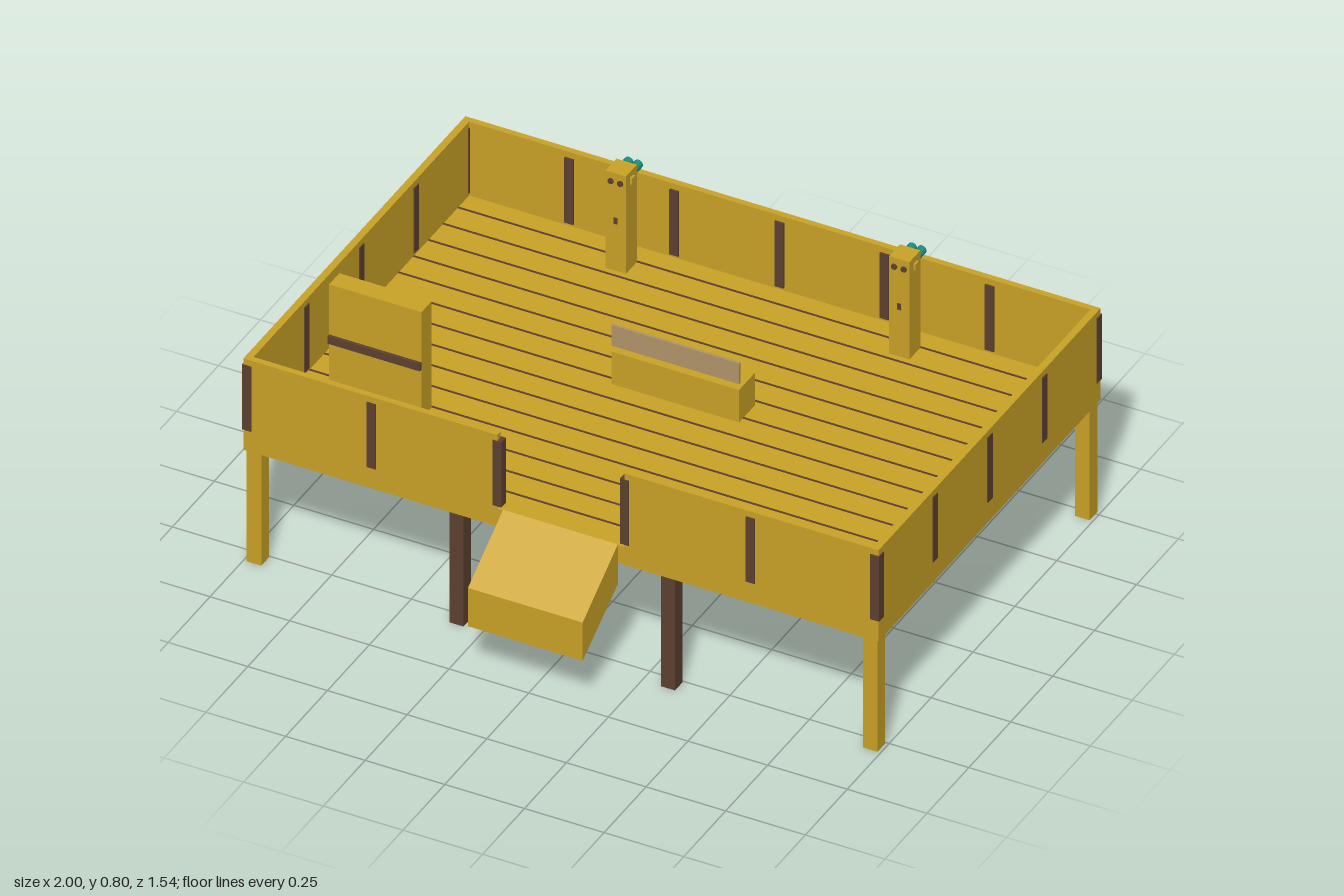
import * as THREE from 'three';

export function createModel() {
  const model = new THREE.Group();
  model.name = 'observationDeck';

  const mat = (name, color) => {
    const m = new THREE.MeshStandardMaterial({ color });
    m.name = name;
    return m;
  };
  const yellow = mat('yellowWood', 0xc9a227);
  const brown = mat('darkBrownWood', 0x5c4030);
  const tan = mat('tanPanel', 0xb09468);
  const teal = mat('tealMetal', 0x1f9080);

  const add = (name, geometry, material, parent = model) => {
    const mesh = new THREE.Mesh(geometry, material);
    mesh.name = name;
    parent.add(mesh);
    return mesh;
  };
  // Box given by its lower and upper limits on each axis
  const box = (name, material, [x0, x1], [y0, y1], [z0, z1], parent = model) => {
    const mesh = add(name, new THREE.BoxGeometry(x1 - x0, y1 - y0, z1 - z0), material, parent);
    mesh.position.set((x0 + x1) / 2, (y0 + y1) / 2, (z0 + z1) / 2);
    return mesh;
  };
  const around = (c, half) => [c - half, c + half];

  const BACK = -0.77, FRONT = 0.56, FLOOR = 0.44, TOP = 0.69, T = 0.022;
  const edge = 0.997;

  // Deck with dark gaps between its planks
  box('deck', yellow, [-edge, edge], [0.38, FLOOR], [BACK + 0.003, FRONT - 0.003]);
  const planks = 15, pitch = (FRONT - BACK) / planks;
  for (let i = 1; i < planks; i++) {
    box('plankGap', brown, [-0.975, 0.975], [FLOOR - 0.002, FLOOR + 0.002], around(BACK + i * pitch, 0.003));
  }

  // Surrounding walls, open at the front for the ramp
  const wallY = [FLOOR, TOP];
  box('backWall', yellow, [-edge, edge], wallY, [BACK + 0.003, BACK + T]);
  for (const s of [-1, 1]) {
    box('sideWall', yellow, around(s * (edge - T / 2), T / 2), wallY, [BACK + T, FRONT - T]);
    box('frontWall', yellow, around(s * (0.2 + edge) / 2, (edge - 0.2) / 2), wallY, [FRONT - T, FRONT - 0.003]);
  }

  // Wall posts, slightly proud of both wall faces
  const postY = [0.45, 0.67];
  const post = (x, z) => box('wallPost', brown, around(x, 0.014), postY, around(z, 0.014));
  for (const x of [-0.986, -0.595, -0.2, 0.2, 0.595, 0.986]) post(x, FRONT - 0.014);
  for (const x of [-0.986, -0.66, -0.33, 0, 0.33, 0.66, 0.986]) post(x, BACK + 0.014);
  for (const z of [-0.43, -0.104, 0.223]) for (const s of [-1, 1]) post(s * 0.986, z);

  // Legs: light at the corners, dark in the middle
  for (const s of [-1, 1]) {
    for (const z of [0.528, -0.738]) {
      box('cornerLeg', yellow, around(s * 0.967, 0.023), [0, 0.38], around(z, 0.023));
      box('middleLeg', brown, around(s * 0.332, 0.022), [0, 0.38], around(z, 0.022));
    }
  }

  // Entry ramp: slanted side profile extruded across its width
  const profile = new THREE.Shape([
    new THREE.Vector2(-0.56, 0.31),
    new THREE.Vector2(-0.56, 0.445),
    new THREE.Vector2(-0.77, 0.31),
    new THREE.Vector2(-0.77, 0.18),
  ]);
  const rampGeometry = new THREE.ExtrudeGeometry(profile, { depth: 0.36, bevelEnabled: false });
  rampGeometry.rotateY(Math.PI / 2).translate(-0.18, 0, 0);
  add('ramp', rampGeometry, yellow);

  // Bench with a thin raised panel along its front edge
  box('bench', yellow, [-0.2, 0.2], [FLOOR, 0.55], [-0.22, -0.125]);
  box('benchPanel', tan, [-0.2, 0.2], [0.57, 0.64], [-0.133, -0.125]);

  // Tall cabinet with a dark ledge
  box('cabinet', yellow, [-0.88, -0.59], [FLOOR, 0.8], [0.207, 0.268]);
  box('cabinetLedge', brown, [-0.88, -0.59], [0.605, 0.63], [0.268, 0.278]);

  // Twin-barrel viewers on pillars by the back wall
  const tube = (name, material, r, z0, z1, x, parent) => {
    const g = new THREE.CylinderGeometry(r, r, z1 - z0, 12).rotateX(Math.PI / 2);
    add(name, g, material, parent).position.set(x, 0.741, (z0 + z1) / 2);
  };
  for (const s of [-1, 1]) {
    const viewer = new THREE.Group();
    viewer.name = 'viewer';
    viewer.position.x = s * 0.445;
    model.add(viewer);
    box('viewerPillar', yellow, [-0.032, 0.032], [FLOOR, 0.77], [-0.68, -0.615], viewer);
    box('coinSlot', brown, [-0.006, 0.006], [0.6, 0.62], [-0.616, -0.612], viewer);
    for (const side of [-1, 1]) {
      tube('barrel', teal, 0.014, -0.723, -0.68, side * 0.015, viewer);
      tube('eyepiece', brown, 0.009, -0.616, -0.61, side * 0.015, viewer);
      box('sideKnob', yellow, around(side * 0.035, 0.004), [0.73, 0.75], [-0.658, -0.638], viewer);
    }
  }

  return model;
}
